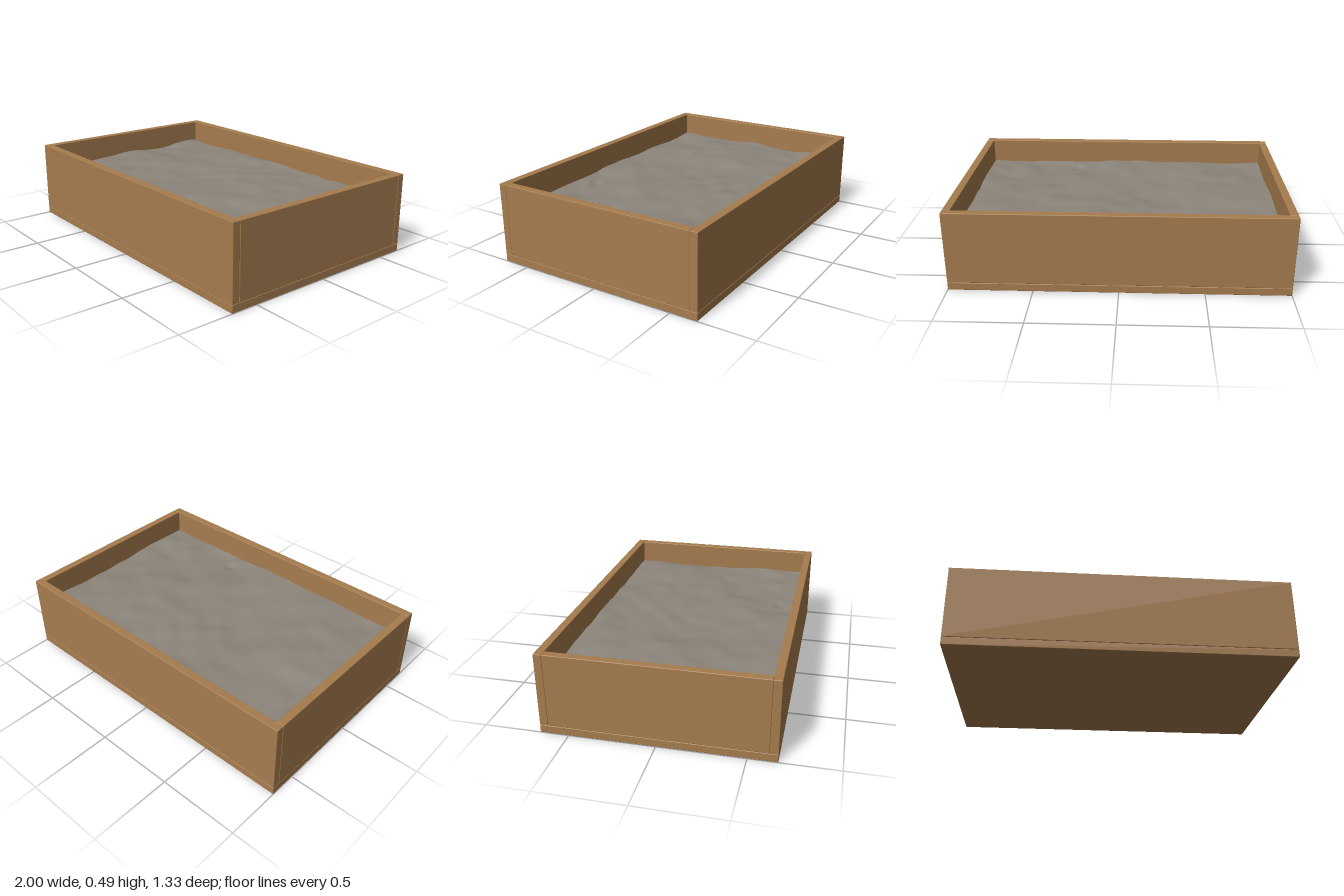
import * as THREE from 'three';
import { RoundedBoxGeometry } from 'three/addons/geometries/RoundedBoxGeometry.js';

const L = 2, H = 0.49, D = 1.333, T = 0.048; // outer size and board thickness
const SAND_Y = 0.34;

// Seeded lattice value in -1..1, blended into smooth noise
function lattice(i, j) {
  const s = Math.sin(i * 127.1 + j * 311.7 + 4.2) * 43758.5453;
  return (s - Math.floor(s)) * 2 - 1;
}
function noise(x, z) {
  const i = Math.floor(x), j = Math.floor(z);
  const u = THREE.MathUtils.smootherstep(x - i, 0, 1);
  const v = THREE.MathUtils.smootherstep(z - j, 0, 1);
  const a = THREE.MathUtils.lerp(lattice(i, j), lattice(i + 1, j), u);
  const b = THREE.MathUtils.lerp(lattice(i, j + 1), lattice(i + 1, j + 1), u);
  return THREE.MathUtils.lerp(a, b, v);
}

// Uneven fill height, with one small dent near the front
function fillHeight(x, z) {
  const dent = Math.exp(-(((x - 0.33) / 0.04) ** 2) - ((z - 0.51) / 0.03) ** 2);
  return SAND_Y + 0.014 * noise(x * 4, z * 4) + 0.006 * noise(x * 9 + 7, z * 9) - 0.018 * dent;
}

export function createModel() {
  const group = new THREE.Group();
  const wood = new THREE.MeshStandardMaterial({ color: 0xa67c4e });
  wood.name = 'wood';
  const gravel = new THREE.MeshStandardMaterial({ color: 0x8c857b });
  gravel.name = 'grey fill';

  const board = (name, w, h, d, x, y, z) => {
    const mesh = new THREE.Mesh(new RoundedBoxGeometry(w, h, d, 2, 0.004), wood);
    mesh.name = name;
    mesh.position.set(x, y, z);
    group.add(mesh);
  };

  // Floor, long boards across the front and back, short boards between them
  const wallH = H - T, wallY = T + wallH / 2;
  board('floorBoard', L, T, D, 0, T / 2, 0);
  for (const s of [1, -1]) {
    board(s > 0 ? 'frontBoard' : 'backBoard', L, wallH, T, 0, wallY, s * (D - T) / 2);
    board(s > 0 ? 'leftBoard' : 'rightBoard', T, wallH, D - 2 * T, s * (L - T) / 2, wallY, 0);
  }

  // Rough surface of the fill
  const surface = new THREE.PlaneGeometry(L - 2 * T, D - 2 * T, 110, 72).rotateX(-Math.PI / 2);
  const p = surface.attributes.position;
  for (let i = 0; i < p.count; i++) p.setY(i, fillHeight(p.getX(i), p.getZ(i)));
  surface.computeVertexNormals();
  const fill = new THREE.Mesh(surface, gravel);
  fill.name = 'fillSurface';
  group.add(fill);

  return group;
}
